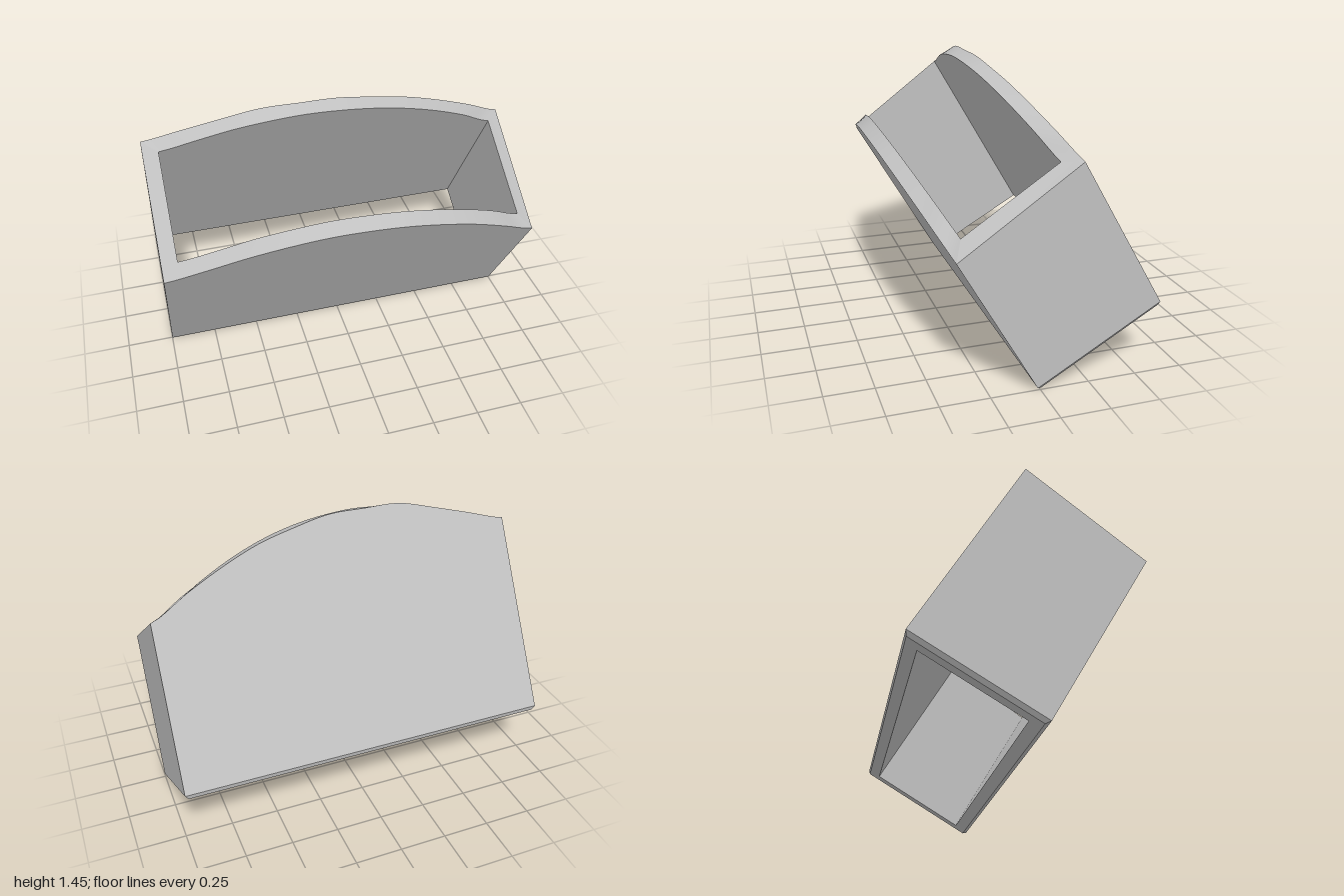
import * as THREE from 'three';

const TILT = Math.PI / 6, COS = Math.cos(TILT), SIN = Math.sin(TILT);
const DEPTH = 0.727, WALL = 0.08, BEVEL = 0.017, BASE = 0.009, STEPS = 40;

// Crest heights above the ground, evenly spaced from right (-x) to left (+x)
const crest = {
  frontOuter: [0.855, 0.91, 0.975, 1.02, 1.045, 1.04, 1.015, 0.965, 0.895, 0.8, 0.7],
  backOuter: [1.3, 1.35, 1.4, 1.445, 1.447, 1.445, 1.41, 1.365, 1.295, 1.21, 1.115],
  frontInner: [0.93, 0.98, 1.04, 1.075, 1.095, 1.088, 1.065, 1.022, 0.962, 0.883, 0.785],
  backInner: [1.275, 1.325, 1.375, 1.405, 1.42, 1.412, 1.388, 1.345, 1.282, 1.2, 1.1],
};

// Row of points across the width, at a depth behind the front plane
function row(inset, depth, heightAt) {
  return Array.from({ length: STEPS + 1 }, (_, i) => {
    const t = i / STEPS;
    return new THREE.Vector3((1 - inset) * (2 * t - 1), heightAt(t), -depth);
  });
}

// Smooth crest, converted to length along the tilted sleeve
function crestRow(inset, depth, heights) {
  const curve = new THREE.SplineCurve(heights.map((y, i) => new THREE.Vector2(i, y)));
  return row(inset, depth, t => (curve.getPoint(t).y - BASE - depth * SIN) / COS);
}

// Four sides of a rectangular ring: front, left, back, right
function ring(front, back) {
  const last = STEPS;
  return [front, [front[last], back[last]], [...back].reverse(), [back[0], front[0]]];
}

function flatRing(inset, height) {
  return ring(row(inset, inset, () => height), row(inset, DEPTH - inset, () => height));
}

function crestRing(inset, front, back) {
  return ring(crestRow(inset, inset, front), crestRow(inset, DEPTH - inset, back));
}

// Surface between two rows of equal length
function strip(a, b) {
  const n = a.length, index = [];
  for (let i = 0; i < n - 1; i++) index.push(i, i + 1, n + i + 1, i, n + i + 1, n + i);
  const geometry = new THREE.BufferGeometry().setFromPoints([...a, ...b]);
  geometry.setIndex(index);
  geometry.computeVertexNormals();
  return geometry;
}

export function createModel() {
  const model = new THREE.Group();
  model.name = 'tiltedSleeve';
  const grey = new THREE.MeshStandardMaterial({ color: 0xc0c0c0 });
  grey.name = 'lightGrey';

  // Rings of the sleeve, up the outside, over the rim and down the inside
  const outerBottom = flatRing(0, 0);
  const outerTop = crestRing(0, crest.frontOuter, crest.backOuter);
  const innerTop = crestRing(WALL, crest.frontInner, crest.backInner);
  const innerBottom = flatRing(WALL, -0.02);
  const bevelBottom = flatRing(BEVEL, -0.02);

  const parts = [
    ['outerWall', outerBottom, outerTop],
    ['curvedRim', outerTop, innerTop],
    ['innerWall', innerTop, innerBottom],
    ['bottomRim', innerBottom, bevelBottom],
    ['bottomBevel', bevelBottom, outerBottom],
  ];
  const sides = ['Front', 'Left', 'Back', 'Right'];

  const sleeve = new THREE.Group();
  sleeve.name = 'sleeve';
  for (const [name, from, to] of parts) {
    sides.forEach((side, i) => {
      const mesh = new THREE.Mesh(strip(from[i], to[i]), grey);
      mesh.name = name + side;
      sleeve.add(mesh);
    });
  }

  // Lean the sleeve forward
  sleeve.rotation.x = TILT;
  sleeve.position.set(0, BASE, 0.013);
  model.add(sleeve);
  return model;
}
